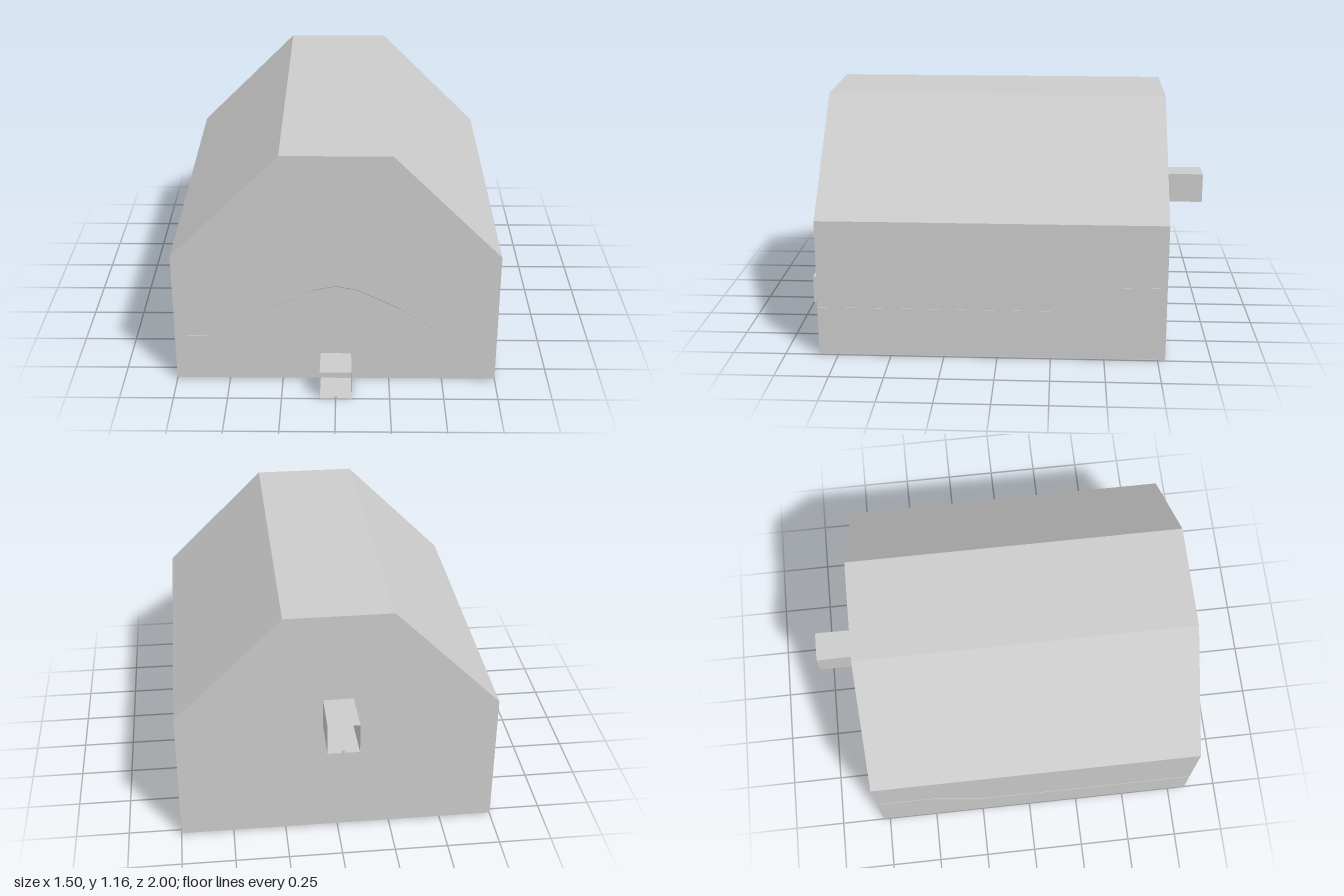
import * as THREE from 'three';

const mat = new THREE.MeshStandardMaterial({ color: 0xcccccc, flatShading: true, side: THREE.DoubleSide });
const FRONT = 0.84, BACK = -0.785;

function named(name, geometry) {
  const mesh = new THREE.Mesh(geometry, mat);
  mesh.name = name;
  return mesh;
}

// Surface through rows of points, with separate corners per facet
function loft(rows) {
  const pos = [];
  for (let i = 0; i < rows.length - 1; i++) {
    for (let j = 0; j < rows[i].length - 1; j++) {
      const a = rows[i][j], b = rows[i + 1][j], c = rows[i + 1][j + 1], d = rows[i][j + 1];
      pos.push(...a, ...b, ...c, ...a, ...c, ...d);
    }
  }
  const g = new THREE.BufferGeometry();
  g.setAttribute('position', new THREE.Float32BufferAttribute(pos, 3));
  g.computeVertexNormals();
  return g;
}

// Straight sheet between an x/y profile at one depth and another at the next
const sheet = (p0, z0, p1, z1) => loft([[p0, z0], [p1, z1]].map(([p, z]) => p.map(([x, y]) => [x, y, z])));

const square = (y, half = 0.07) =>
  [[-half, y], [half, y], [half, y + 0.144], [-half, y + 0.144], [-half, y]];

// Gable wall with a doorway cut out
function gable(name, profile, doorY, z) {
  const shape = new THREE.Shape(profile.map(p => new THREE.Vector2(...p)));
  shape.holes.push(new THREE.Path(square(doorY).slice(0, 4).reverse().map(p => new THREE.Vector2(...p))));
  const wall = named(name, new THREE.ShapeGeometry(shape));
  if (z < 0) wall.geometry.rotateY(Math.PI);
  wall.position.z = z;
  return wall;
}

export function createModel() {
  const group = new THREE.Group();
  group.name = 'caveRoom';

  // Walls and roof, open underneath
  const outline = [[0.75, 0.008], [0.75, 0.66], [0.25, 1.158], [-0.25, 1.158], [-0.75, 0.66], [-0.75, 0.008]];
  group.add(named('wallsAndRoof', sheet(outline, FRONT, outline, BACK)));
  group.add(gable('frontWall', outline, 0.002, FRONT));
  group.add(gable('backWall', outline, 0.58, BACK));

  // Square entrance tunnels, slightly flared outwards: low in front, high behind
  group.add(named('frontTunnel', sheet(square(0.002, 0.073), 1, square(0.002, 0.068), 0.4)));
  group.add(named('backTunnel', sheet(square(0.58), BACK, square(0.58, 0.073), -1)));

  // Small markers on the tunnel sills
  for (const [name, y, z] of [['frontMarker', 0.009, 0.993], ['backMarker', 0.584, -0.993]]) {
    const marker = named(name, new THREE.BoxGeometry(0.014, 0.014, 0.014));
    marker.position.set(0, y, z);
    group.add(marker);
  }

  // Ground with a pit behind the front hill and a rise to the back door:
  // depth, then heights from the middle outwards
  const columns = [0, 0.1, 0.3, 0.45, 0.6, 0.752];
  const heights = [
    [FRONT + 0.002, 0.51, 0.49, 0.39, 0.29, 0.24, 0.24],
    [0.7, 0.26, 0.25, 0.26, 0.24, 0.24, 0.24],
    [0.55, 0.003, 0.005, 0.15, 0.22, 0.24, 0.24],
    [0.4, 0.003, 0.003, 0.005, 0.08, 0.24, 0.24],
    [0.2, 0.02, 0.02, 0.1, 0.22, 0.24, 0.24],
    [0, 0.08, 0.1, 0.19, 0.24, 0.24, 0.24],
    [-0.12, 0.24, 0.24, 0.24, 0.24, 0.24, 0.24],
    [-0.25, 0.24, 0.24, 0.24, 0.24, 0.24, 0.24],
    [-0.5, 0.42, 0.41, 0.38, 0.36, 0.36, 0.36],
    [BACK, 0.58, 0.56, 0.46, 0.39, 0.36, 0.36],
  ];
  const ground = heights.map(([z, ...h]) => {
    const half = columns.map((x, i) => [x, h[i], z]);
    const mirrored = half.slice(1).reverse().map(([x, y]) => [-x, y, z]);
    return [...mirrored, ...half];
  });
  group.add(named('ground', loft(ground.reverse())));

  return group;
}
